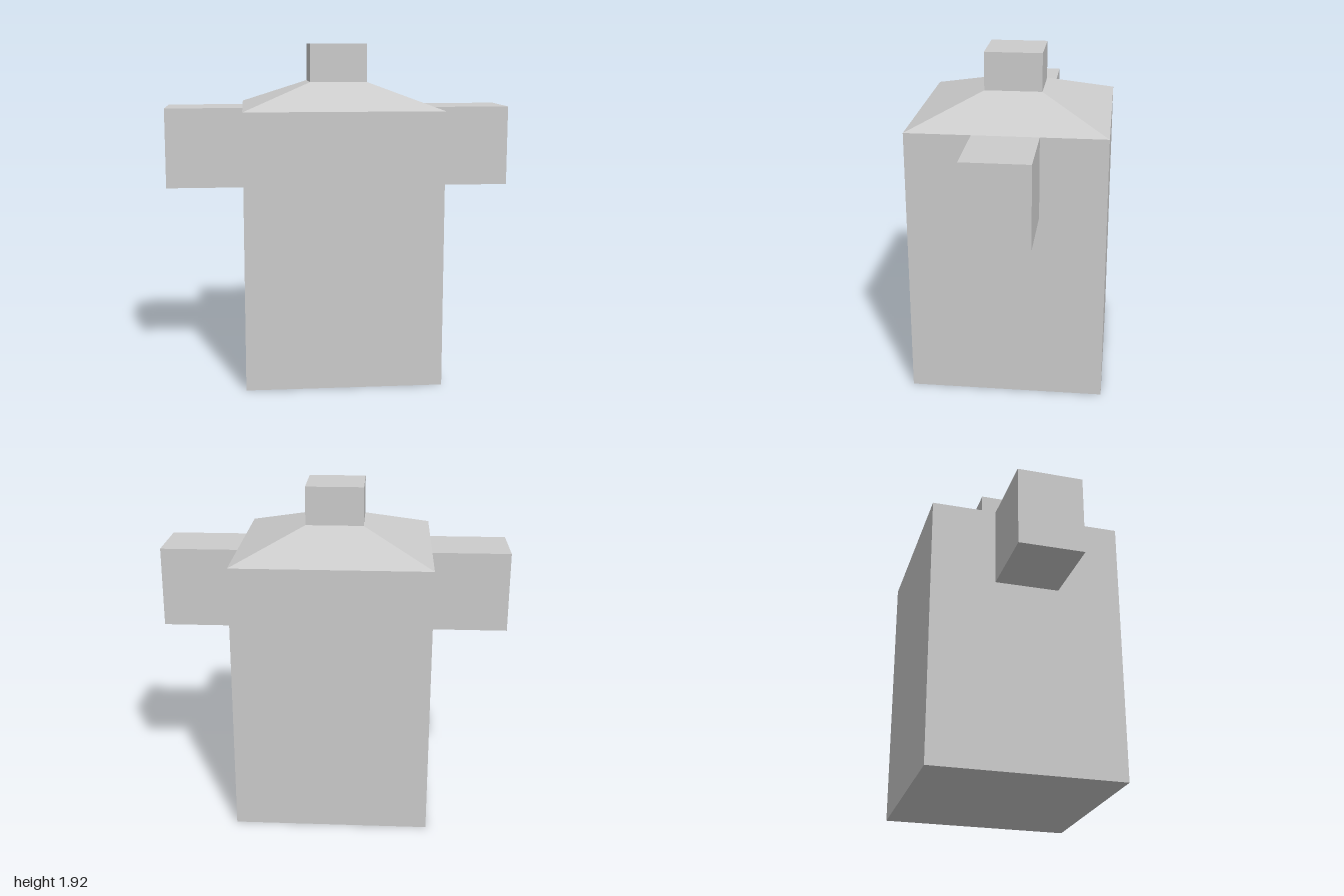
import * as THREE from 'three';

export function createModel() {
  const model = new THREE.Group();
  const grey = new THREE.MeshStandardMaterial({ name: 'light grey', color: 0xcccccc, flatShading: true });

  const HALF_BODY = 0.555, BODY_TOP = 1.56;
  const HALF_HEAD = 0.165, NECK = 1.705, HEAD_TOP = 1.925;
  const ARM_BOTTOM = 1.1, ARM_DEPTH = 0.37;

  function add(name, geometry, x, y, z = 0) {
    const mesh = new THREE.Mesh(geometry, grey);
    mesh.name = name;
    mesh.position.set(x, y, z);
    model.add(mesh);
  }

  // Square torso
  add('torso', new THREE.BoxGeometry(HALF_BODY * 2, BODY_TOP, HALF_BODY * 2), 0, BODY_TOP / 2);

  // Sloping shoulders: a four-sided frustum turned square to the torso
  const slope = new THREE.CylinderGeometry(
    HALF_HEAD * Math.SQRT2, HALF_BODY * Math.SQRT2, NECK - BODY_TOP, 4, 1, true);
  slope.rotateY(Math.PI / 4);
  add('shoulders', slope, 0, (BODY_TOP + NECK) / 2);

  // Head block
  add('head', new THREE.BoxGeometry(HALF_HEAD * 2, HEAD_TOP - NECK, HALF_HEAD * 2), 0, (NECK + HEAD_TOP) / 2);

  // Arms reaching straight out, flush with the torso's top edge
  for (const [name, side] of [['leftArm', 1], ['rightArm', -1]]) {
    add(name, new THREE.BoxGeometry(1 - HALF_BODY, BODY_TOP - ARM_BOTTOM, ARM_DEPTH),
      side * (1 + HALF_BODY) / 2, (BODY_TOP + ARM_BOTTOM) / 2);
  }

  return model;
}
